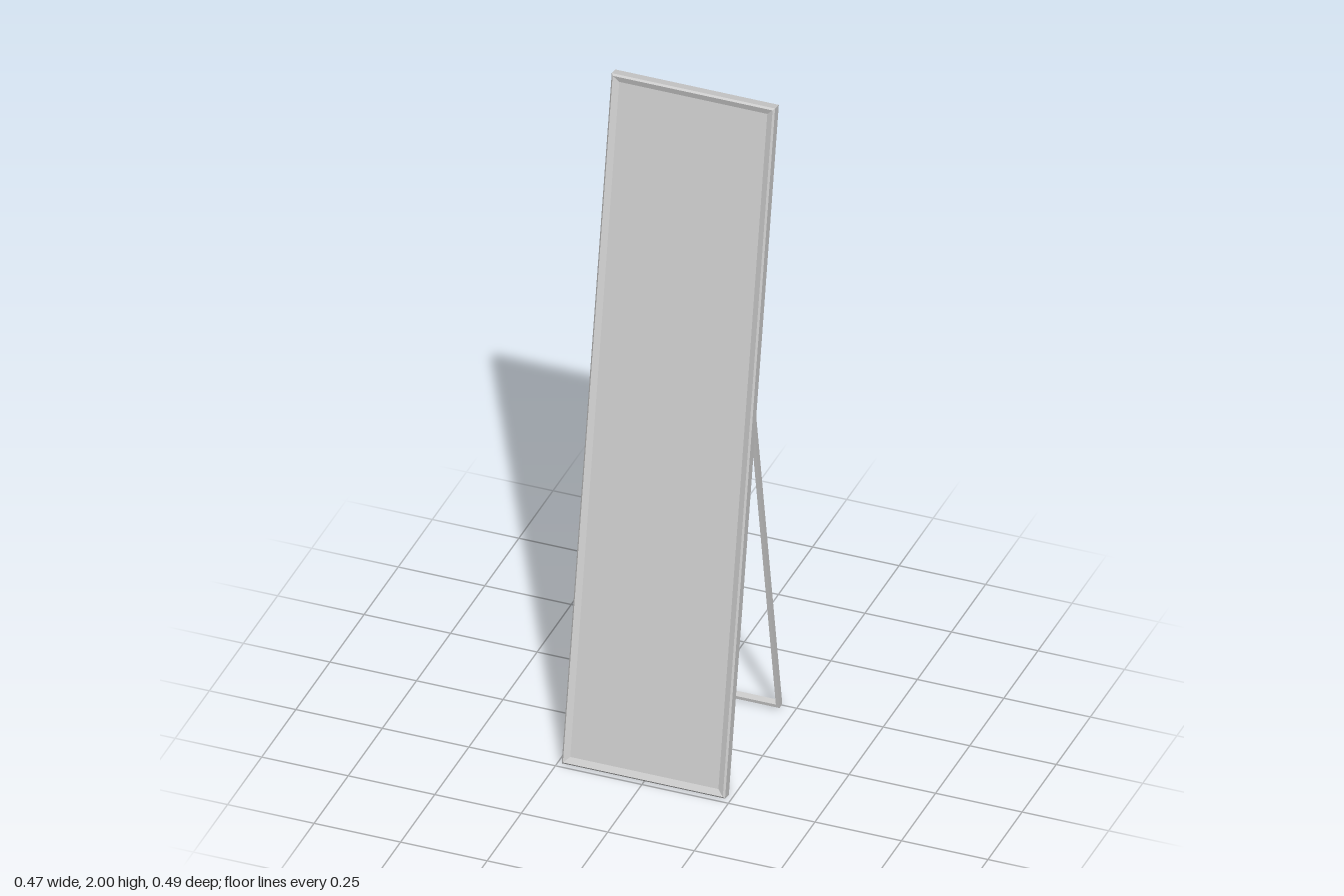
import * as THREE from 'three';

const WIDTH = 0.472, LENGTH = 2.029, THICK = 0.038, CHAMFER = 0.005;
const RIM = 0.022, RECESS = 0.008;
const LEAN = THREE.MathUtils.degToRad(10.4);

// Rectangular rings [inset, z], joined from back to front with flat faces
function ringFrame(rings) {
  const corners = rings.map(([inset, z]) => {
    const x = WIDTH / 2 - inset, y = LENGTH / 2 - inset;
    return [[-x, -y, z], [x, -y, z], [x, y, z], [-x, y, z]];
  });
  const positions = [];
  const quad = (a, b, c, d) => positions.push(...a, ...b, ...c, ...a, ...c, ...d);
  for (let i = 0; i < corners.length - 1; i++) {
    const a = corners[i], b = corners[i + 1];
    for (let j = 0; j < 4; j++) {
      const k = (j + 1) % 4;
      quad(a[j], a[k], b[k], b[j]);
    }
  }
  const geometry = new THREE.BufferGeometry();
  geometry.setAttribute('position', new THREE.Float32BufferAttribute(positions, 3));
  geometry.computeVertexNormals();
  return geometry;
}

export function createModel() {
  const model = new THREE.Group();
  model.name = 'standingMirror';
  const material = new THREE.MeshStandardMaterial({ color: 0xcccccc, flatShading: true });

  const add = (parent, name, geometry, x = 0, y = 0, z = 0) => {
    const mesh = new THREE.Mesh(geometry, material);
    mesh.name = name;
    mesh.position.set(x, y, z);
    parent.add(mesh);
    return mesh;
  };

  // Leaning panel: chamfered frame, recessed glass, flat back
  const panel = new THREE.Group();
  panel.name = 'mirrorPanel';
  panel.position.set(0, 1, 0.042);
  panel.rotation.x = -LEAN;
  model.add(panel);

  const h = THICK / 2;
  add(panel, 'frame', ringFrame([
    [CHAMFER, -h], [0, -h + CHAMFER], [0, h - CHAMFER], [CHAMFER, h], [RIM, h - RECESS],
  ]));
  add(panel, 'glass', new THREE.PlaneGeometry(WIDTH - 2 * RIM, LENGTH - 2 * RIM), 0, 0, h - RECESS);
  const back = new THREE.PlaneGeometry(WIDTH - 2 * CHAMFER, LENGTH - 2 * CHAMFER);
  add(panel, 'backBoard', back, 0, 0, -h).rotation.y = Math.PI;

  // U-shaped rear support, leaning forward into the panel
  const stand = new THREE.Group();
  stand.name = 'rearStand';
  stand.position.set(0, 0.007, -0.236);
  stand.rotation.x = LEAN;
  model.add(stand);

  const legLength = 1.24, bar = 0.01, depth = 0.02;
  for (const side of [-1, 1]) {
    add(stand, side > 0 ? 'leftLeg' : 'rightLeg',
      new THREE.BoxGeometry(bar, legLength, depth), side * 0.205, legLength / 2, 0);
  }
  add(stand, 'footBar', new THREE.BoxGeometry(0.4, bar, depth), 0, bar / 2, 0);

  return model;
}
